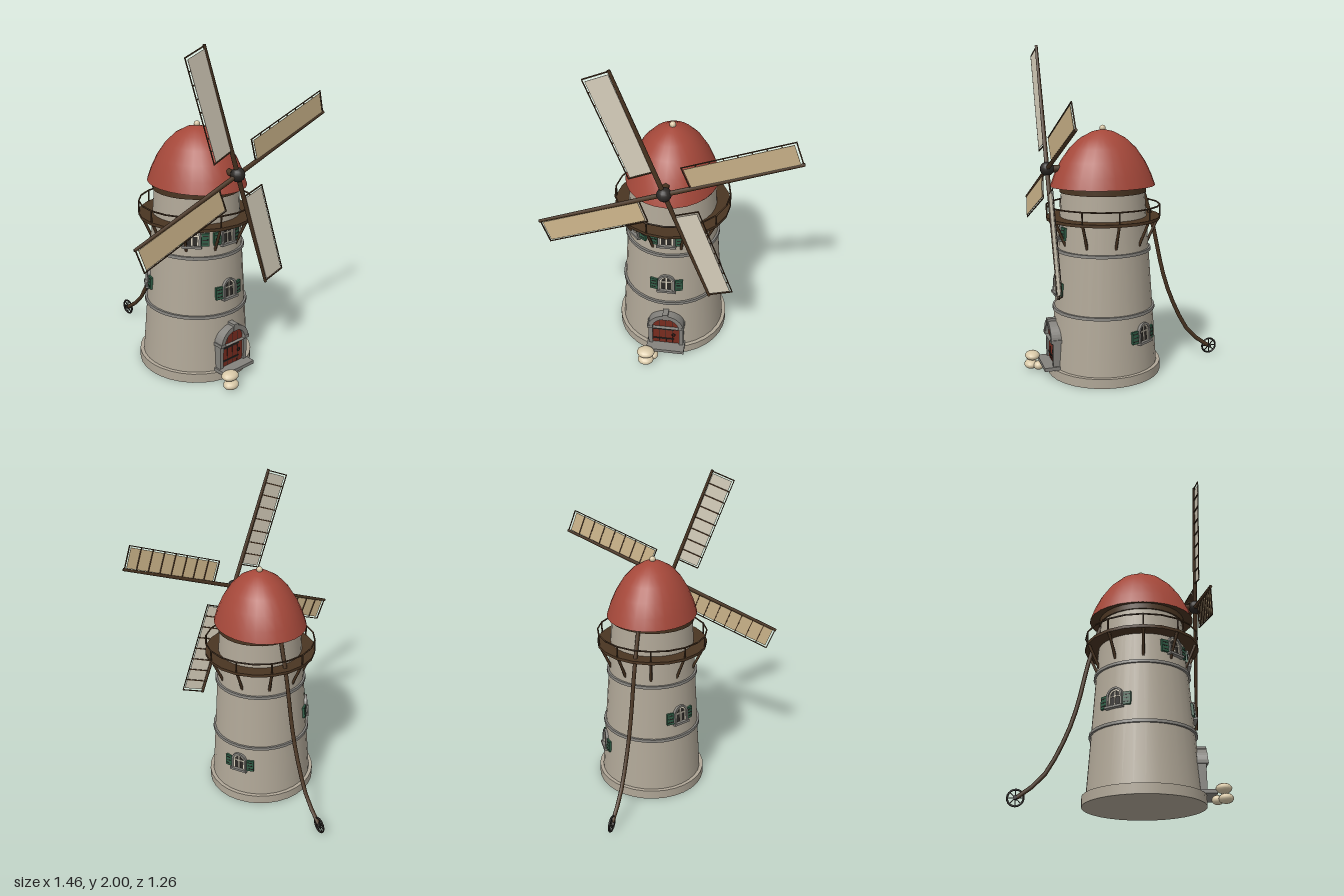
import * as THREE from 'three';

const mat = (name, color) => {
  const m = new THREE.MeshStandardMaterial({ color });
  m.name = name;
  return m;
};

export function createModel() {
  const M = {
    wall: mat('plaster', 0xb0a797),
    trim: mat('grey stone', 0x84827d),
    roof: mat('red roof', 0xa5483a),
    door: mat('door red', 0x7a2c1f),
    wood: mat('dark wood', 0x4a3522),
    iron: mat('iron', 0x2b2825),
    cloth: mat('pale cloth', 0xd8d0bd),
    tan: mat('tan cloth', 0xcdb58b),
    green: mat('shutter green', 0x2f5c45),
    sack: mat('sack cream', 0xd9c9a8),
  };
  M.cloth.side = M.tan.side = THREE.DoubleSide;

  const model = new THREE.Group();
  model.name = 'windmill';
  const add = (parent, name, geo, material, x = 0, y = 0, z = 0) => {
    const mesh = new THREE.Mesh(geo, material);
    mesh.name = name;
    mesh.position.set(x, y, z);
    parent.add(mesh);
    return mesh;
  };
  const group = (parent, name, x = 0, y = 0, z = 0) => {
    const g = new THREE.Group();
    g.name = name;
    g.position.set(x, y, z);
    parent.add(g);
    return g;
  };
  const box = (w, h, d) => new THREE.BoxGeometry(w, h, d);
  const cyl = (top, bottom, h, n = 8) => new THREE.CylinderGeometry(top, bottom, h, n);
  // Round bar between two points
  const bar = (parent, name, a, b, r, material) => {
    const p = new THREE.Vector3(...a), q = new THREE.Vector3(...b);
    const mesh = add(parent, name, cyl(r, r, p.distanceTo(q), 6), material);
    mesh.position.copy(p).lerp(q, 0.5);
    mesh.quaternion.setFromUnitVectors(new THREE.Vector3(0, 1, 0), q.sub(p).normalize());
    return mesh;
  };
  // Round-headed outline, w = half width
  const arch = (w, y0, spring, path = new THREE.Shape()) => {
    path.moveTo(-w, y0);
    path.lineTo(w, y0);
    path.lineTo(w, spring);
    path.absarc(0, spring, w, 0, Math.PI, false);
    path.lineTo(-w, y0);
    return path;
  };
  const extrude = (shape, depth) =>
    new THREE.ExtrudeGeometry(shape, { depth, bevelEnabled: false, curveSegments: 10 });
  const archRing = (outer, inner, y0, spring, depth) => {
    const s = arch(outer, y0, spring);
    s.holes.push(arch(inner, y0 + 0.0005, spring, new THREE.Path()));
    return extrude(s, depth);
  };

  // Tower, with its axis as the group origin
  const CZ = 0.147;
  const wallR = y => 0.334 - 0.07 * y;
  const tower = group(model, 'tower', 0, 0, CZ);
  add(tower, 'plinth', cyl(0.353, 0.353, 0.058, 32), M.wall, 0, 0.029);
  add(tower, 'towerWall', cyl(wallR(1.15), wallR(0.05), 1.1, 32), M.wall, 0, 0.6);
  for (const y of [0.41, 0.775])
    add(tower, 'stringCourse', cyl(wallR(y) + 0.012, wallR(y) + 0.014, 0.018, 32), M.trim, 0, y);
  add(tower, 'capCurb', cyl(0.265, 0.265, 0.035, 28), M.wood, 0, 1.142);

  // Domed cap, longer than it is wide
  const dome = [[1, 0], [0.92, 0.21], [0.8, 0.44], [0.63, 0.67], [0.43, 0.845], [0.2, 0.96], [0, 1]]
    .map(([r, y]) => new THREE.Vector2(r, y));
  const cap = group(tower, 'cap', 0, 1.16, 0);
  add(cap, 'dome', new THREE.LatheGeometry(dome, 28), M.roof).scale.set(0.278, 0.34, 0.323);
  const under = add(cap, 'capUnderside', new THREE.CircleGeometry(1, 28), M.wood, 0, 0.001);
  under.rotation.x = Math.PI / 2;
  under.scale.set(0.278, 0.323, 1);
  add(cap, 'finial', new THREE.SphereGeometry(0.019, 12, 8), M.sack, 0, 0.346);

  // Gallery with railing and brackets
  const gallery = group(tower, 'gallery');
  add(gallery, 'galleryDeck', cyl(0.35, 0.35, 0.018, 20), M.wood, 0, 0.967);
  const rail = add(gallery, 'handRail', new THREE.TorusGeometry(0.346, 0.005, 6, 20), M.wood, 0, 1.045);
  rail.rotation.x = Math.PI / 2;
  for (let i = 0; i < 10; i++) {
    const a = i * Math.PI / 5, c = Math.cos(a), s = Math.sin(a);
    bar(gallery, 'railPost', [c * 0.346, 0.97, s * 0.346], [c * 0.346, 1.045, s * 0.346], 0.005, M.wood);
    bar(gallery, 'bracket', [c * 0.27, 0.815, s * 0.27], [c * 0.337, 0.962, s * 0.337], 0.009, M.wood);
  }

  // Shuttered windows, placed by angle from the front and sill height
  const addWindow = (a, y) => {
    const r = wallR(y + 0.06);
    const w = group(tower, 'window', Math.sin(a) * r, y, Math.cos(a) * r);
    w.rotation.set(-0.07, a, 0, 'YXZ');
    add(w, 'windowSurround', archRing(0.052, 0.04, 0.012, 0.075, 0.032), M.trim, 0, 0, -0.014);
    add(w, 'glass', extrude(arch(0.041, 0.012, 0.075), 0.014), M.iron, 0, 0, -0.01);
    add(w, 'windowFrame', archRing(0.04, 0.031, 0.012, 0.075, 0.018), M.cloth, 0, 0, -0.008);
    add(w, 'mullion', box(0.008, 0.1, 0.006), M.cloth, 0, 0.064, 0.007);
    add(w, 'transom', box(0.066, 0.007, 0.006), M.cloth, 0, 0.073, 0.007);
    add(w, 'sill', box(0.115, 0.014, 0.04), M.trim, 0, 0.007, 0.005);
    for (const s of [-1, 1]) {
      const sh = group(w, 'shutter', s * 0.076, 0.05, -0.002);
      sh.rotation.y = s * 0.2;
      add(sh, 'shutterBoard', box(0.046, 0.076, 0.016), M.green);
      for (const dy of [-0.022, 0, 0.022])
        add(sh, 'shutterSlot', box(0.032, 0.006, 0.003), M.iron, 0, dy, 0.008);
    }
  };
  [[0, 0.5], [0, 0.837], [-0.82, 0.837], [Math.PI / 2 + 0.59, 0.227], [-Math.PI / 2 - 0.58, 0.5]]
    .forEach(([a, y]) => addWindow(a, y));

  // Arched door with stone surround and step
  const entry = group(model, 'entrance', 0, 0, CZ);
  add(entry, 'doorLeaf', extrude(arch(0.086, 0.075, 0.225), 0.04), M.door, 0, 0, 0.295);
  for (const s of [-1, 1]) {
    add(entry, 'doorJamb', box(0.026, 0.165, 0.06), M.trim, s * 0.097, 0.1525, 0.317);
    add(entry, 'impost', box(0.036, 0.02, 0.07), M.trim, s * 0.099, 0.235, 0.325);
  }
  add(entry, 'doorArch', archRing(0.113, 0.084, 0.224, 0.225, 0.07), M.trim, 0, 0, 0.288);
  add(entry, 'keystone', box(0.034, 0.045, 0.076), M.trim, 0, 0.33, 0.325);
  add(entry, 'doorStep', box(0.24, 0.022, 0.11), M.trim, 0, 0.068, 0.347);
  for (const y of [0.115, 0.2])
    add(entry, 'hingeStrap', box(0.13, 0.009, 0.005), M.iron, -0.015, y, 0.337);
  for (const x of [-0.042, 0, 0.042])
    add(entry, 'plankJoint', box(0.003, 0.2, 0.002), M.iron, x, 0.18, 0.3355);
  add(entry, 'doorRing', new THREE.TorusGeometry(0.01, 0.003, 6, 12), M.iron, 0.05, 0.155, 0.339);

  // Sail cross with four lattice sails
  const sails = group(model, 'sails', 0, 1.27, 0.49);
  add(sails, 'hub', new THREE.SphereGeometry(0.042, 14, 10), M.iron);
  bar(sails, 'windshaft', [0, 0, 0], [0, 0, -0.2], 0.022, M.wood);
  for (let i = 0; i < 4; i++) {
    const sail = group(sails, 'sail');
    sail.rotation.z = (20 + 90 * i) * Math.PI / 180;
    const stock = add(sail, 'stock', cyl(0.009, 0.014, 0.775, 6), M.wood, 0.3875);
    stock.rotation.z = -Math.PI / 2;
    const lattice = group(sail, 'lattice');
    lattice.rotation.x = 0.06;
    add(lattice, 'sailCloth', box(0.595, 0.126, 0.003), i % 2 ? M.cloth : M.tan, 0.458, 0.073, 0.004);
    add(lattice, 'hemLath', box(0.622, 0.005, 0.005), M.wood, 0.46, 0.147, 0);
    for (let k = 0; k < 9; k++)
      add(lattice, 'sailBar', box(0.006, 0.147, 0.006), M.wood, 0.152 + k * 0.077, 0.074, -0.001);
  }

  // Tail pole running down to a spoked wheel
  const path = new THREE.CurvePath();
  const pts = [[1.17, -0.095], [0.918, -0.172], [0.574, -0.25], [0.373, -0.322], [0.167, -0.437], [0.06, -0.57]]
    .map(([y, z]) => new THREE.Vector3(0, y, z));
  const curve = new THREE.CatmullRomCurve3(pts);
  add(model, 'tailPole', new THREE.TubeGeometry(curve, 12, 0.013, 8), M.wood);
  const wheel = group(model, 'tailWheel', 0, 0.058, -0.577);
  wheel.rotation.y = Math.PI / 2;
  add(wheel, 'wheelRim', new THREE.TorusGeometry(0.047, 0.006, 6, 20), M.iron);
  add(wheel, 'wheelHub', cyl(0.012, 0.012, 0.034, 10), M.iron).rotation.x = Math.PI / 2;
  for (let i = 0; i < 4; i++)
    add(wheel, 'spoke', box(0.092, 0.005, 0.005), M.iron).rotation.z = i * Math.PI / 4;

  // Sacks stacked by the door
  [[-0.115, 0.028, 0.592, 0.05, 0.028, 0.042], [-0.075, 0.028, 0.55, 0.034, 0.027, 0.034],
    [-0.115, 0.083, 0.582, 0.056, 0.028, 0.046]].forEach(([x, y, z, sx, sy, sz]) =>
    add(model, 'sack', new THREE.SphereGeometry(1, 14, 10), M.sack, x, y, z).scale.set(sx, sy, sz));

  return model;
}
